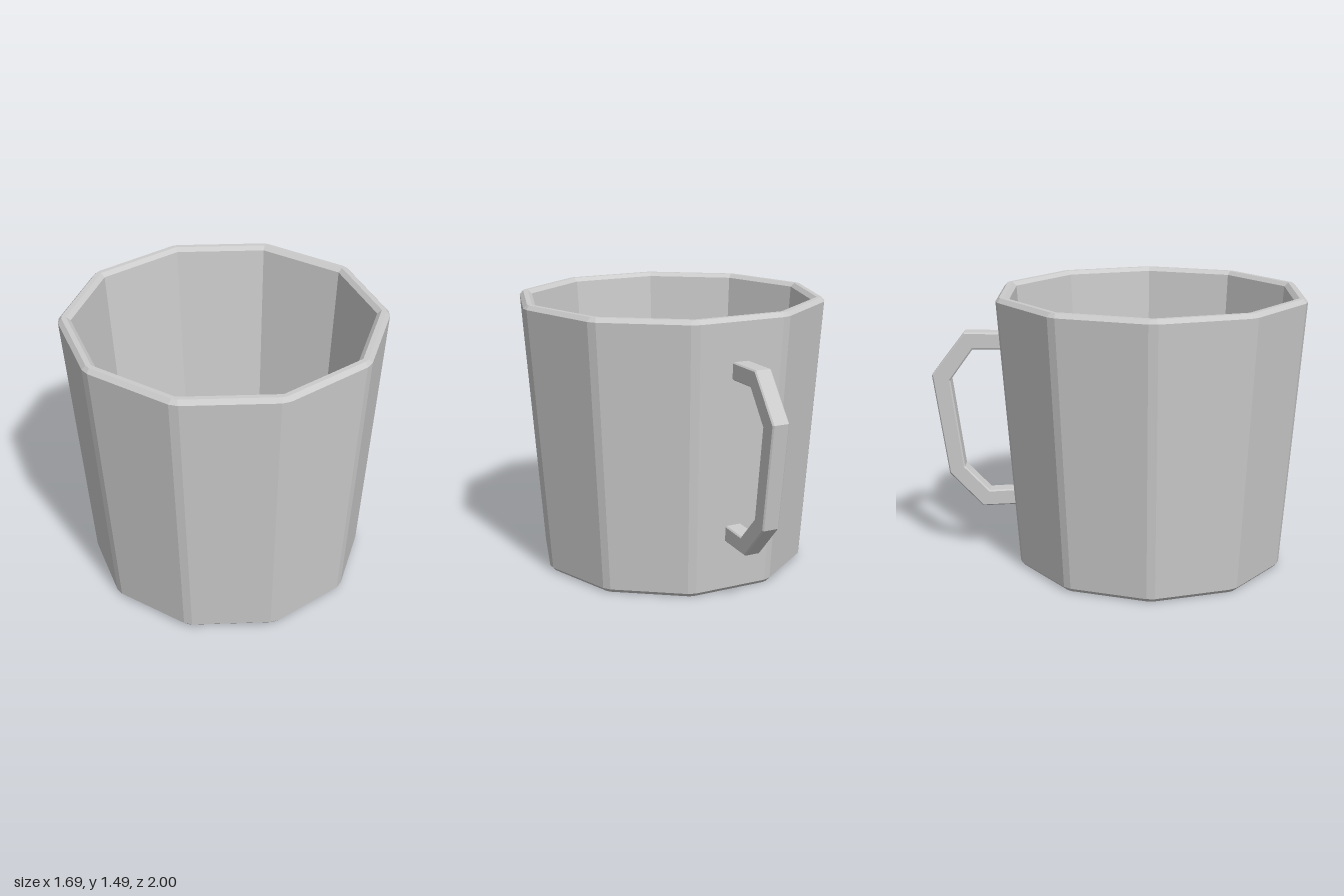
import * as THREE from 'three';

const SIDES = 10;
const CENTRE_Z = 0.19;
const material = new THREE.MeshStandardMaterial({ color: 0xcccccc, flatShading: true, side: THREE.DoubleSide });

// Decagon ring whose corners are cut by a chord of half width w
function ring([radius, y, w]) {
  const points = [];
  const r = radius - w * Math.tan(Math.PI / SIDES);
  for (let i = 0; i < SIDES; i++) {
    const a = (i / SIDES) * Math.PI * 2;
    for (const t of [-w, w]) {
      points.push(new THREE.Vector3(
        r * Math.cos(a) - t * Math.sin(a), y, r * Math.sin(a) + t * Math.cos(a)));
    }
  }
  return points;
}

// Skin consecutive rings, leaving out collapsed triangles
function loft(profile) {
  const rings = profile.map(ring);
  const positions = [];
  const addTriangle = (a, b, c) => {
    if (new THREE.Triangle(a, b, c).getArea() < 1e-8) return;
    for (const p of [a, b, c]) positions.push(p.x, p.y, p.z);
  };
  for (let r = 0; r < rings.length - 1; r++) {
    const lower = rings[r], upper = rings[r + 1], n = lower.length;
    for (let j = 0; j < n; j++) {
      const k = (j + 1) % n;
      addTriangle(lower[j], upper[j], lower[k]);
      addTriangle(lower[k], upper[j], upper[k]);
    }
  }
  const geometry = new THREE.BufferGeometry();
  geometry.setAttribute('position', new THREE.Float32BufferAttribute(positions, 3));
  geometry.computeVertexNormals();
  return geometry;
}

// Cup: base, outer wall, rim, inner wall and floor in one closed skin
function createCup() {
  const cup = new THREE.Mesh(loft([
    [0, 0, 0],
    [0.723, 0, 0.012],
    [0.746, 0.022, 0.022],
    [0.853, 1.472, 0.024],
    [0.832, 1.494, 0.014],
    [0.805, 1.494, 0],
    [0.782, 1.474, 0],
    [0.682, 0.1, 0],
    [0, 0.1, 0],
  ]), material);
  cup.name = 'cup';
  cup.position.z = CENTRE_Z;
  return cup;
}

// Handle: side outline in (z, y), extruded across x with a small bevel
function createHandle() {
  const outline = [
    [-0.57, 1.265], [-0.82, 1.265], [-1.0, 1.03], [-0.92, 0.47], [-0.74, 0.28], [-0.5, 0.292],
    [-0.5, 0.382], [-0.7, 0.37], [-0.835, 0.51], [-0.9, 1.0], [-0.775, 1.172], [-0.57, 1.172],
  ];
  const bevel = 0.007, width = 0.094;
  const geometry = new THREE.ExtrudeGeometry(
    new THREE.Shape(outline.map(([z, y]) => new THREE.Vector2(z, y))),
    { depth: width - 2 * bevel, bevelSize: bevel, bevelThickness: bevel, bevelOffset: -bevel, bevelSegments: 1 });
  geometry.translate(0, 0, bevel - width / 2);
  geometry.rotateY(-Math.PI / 2);
  const handle = new THREE.Mesh(geometry, material);
  handle.name = 'handle';
  return handle;
}

export function createModel() {
  const mug = new THREE.Group();
  mug.name = 'mug';
  mug.add(createCup(), createHandle());
  return mug;
}
